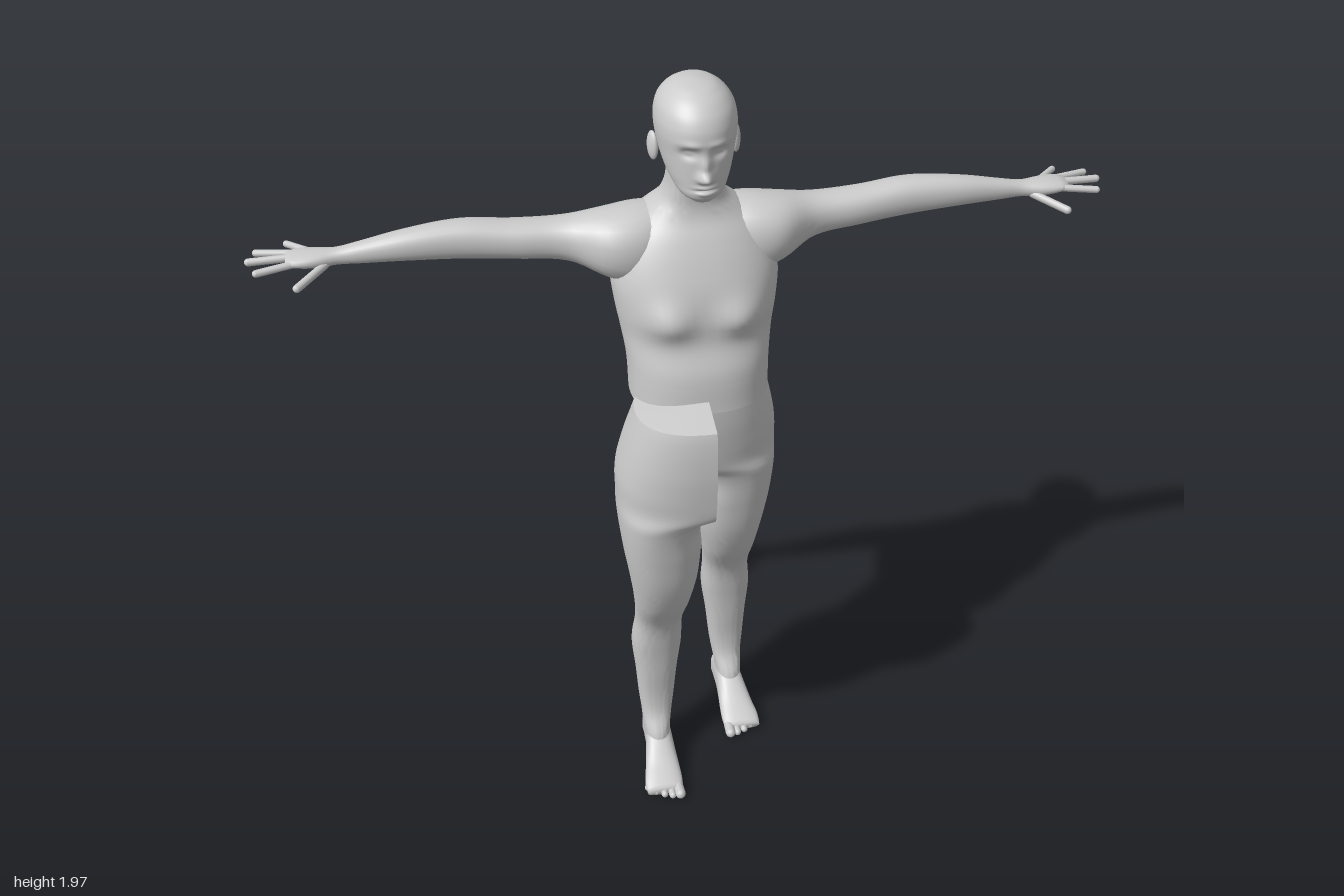
import * as THREE from 'three';
import { toCreasedNormals } from 'three/addons/utils/BufferGeometryUtils.js';

const material = new THREE.MeshStandardMaterial({ color: 0xcccccc, side: THREE.DoubleSide });

function addMesh(parent, name, geometry) {
  const mesh = new THREE.Mesh(geometry, material);
  mesh.name = name;
  parent.add(mesh);
  return mesh;
}

// Skins smoothed oval sections. Each row is [t, a0, a1, b0, b1]: the place along
// the axis and the extents in the next two axes (x: y,z  y: z,x  z: x,y).
function loft(axis, rows, { n = 32, m = 48, power = 0.9, sculpt, lift = 0, crease } = {}) {
  const times = rows.map((r) => r[0]);
  const spline = new THREE.CubicInterpolant(times, rows.flatMap((r) => r.slice(1)), 4, new Float32Array(4));
  const k = 'xyz'.indexOf(axis);
  const positions = [], index = [];
  const push = (t, a, b) => {
    const p = new THREE.Vector3();
    p.setComponent(k, t).setComponent((k + 1) % 3, a).setComponent((k + 2) % 3, b);
    if (sculpt) sculpt(p);
    positions.push(p.x, p.y, p.z);
  };
  const round = (v) => Math.sign(v) * Math.abs(v) ** power;
  const t0 = times[0], t1 = times[times.length - 1];
  for (let i = 0; i <= m; i++) {
    const t = t0 + ((t1 - t0) * i) / m;
    const [a0, a1, b0, b1] = spline.evaluate(t);
    for (let j = 0; j < n; j++) {
      const q = (j / n) * Math.PI * 2;
      push(t, (a0 + a1) / 2 + ((a1 - a0) / 2) * round(Math.cos(q)), (b0 + b1) / 2 + ((b1 - b0) / 2) * round(Math.sin(q)));
      if (i < m) {
        const p = i * n + j, r = i * n + ((j + 1) % n);
        index.push(p, r, p + n, r, r + n, p + n);
      }
    }
  }
  // end caps
  const c = (m + 1) * n;
  for (const [row, t] of [[rows[0], t0], [rows[rows.length - 1], t1 + lift]]) {
    push(t, (row[1] + row[2]) / 2, (row[3] + row[4]) / 2);
  }
  for (let j = 0; j < n; j++) {
    const r = (j + 1) % n;
    index.push(c, r, j, c + 1, m * n + j, m * n + r);
  }
  const geometry = new THREE.BufferGeometry();
  geometry.setAttribute('position', new THREE.Float32BufferAttribute(positions, 3));
  geometry.setIndex(index);
  geometry.computeVertexNormals();
  return crease ? toCreasedNormals(geometry, crease) : geometry;
}

// Soft bump centred on (x, y), mirrored across the body
const bump = (p, x, y, rx, ry) => Math.exp(-(((Math.abs(p.x) - x) / rx) ** 2) - ((p.y - y) / ry) ** 2);

// Rounded rod between two points, for fingers and toes
function rod(parent, name, from, to, radius) {
  const a = new THREE.Vector3(...from), b = new THREE.Vector3(...to);
  const d = b.clone().sub(a);
  const mesh = addMesh(parent, name, new THREE.CapsuleGeometry(radius, d.length(), 5, 10));
  mesh.position.copy(a).add(b).multiplyScalar(0.5);
  mesh.quaternion.setFromUnitVectors(new THREE.Vector3(0, 1, 0), d.normalize());
}

function makeArm(side) {
  const arm = new THREE.Group();
  arm.name = side + 'Arm';
  addMesh(arm, 'armAndPalm', loft('x', [
    [0.06, 1.5, 1.655, -0.13, 0.02], [0.13, 1.475, 1.66, -0.135, 0.045], [0.2, 1.497, 1.652, -0.125, 0.04],
    [0.28, 1.53, 1.635, -0.118, -0.01], [0.4, 1.545, 1.635, -0.118, -0.025], [0.52, 1.555, 1.645, -0.12, -0.035],
    [0.65, 1.565, 1.635, -0.107, -0.04], [0.75, 1.567, 1.615, -0.1, -0.052], [0.8, 1.568, 1.605, -0.1, -0.057],
    [0.84, 1.567, 1.605, -0.11, -0.048], [0.88, 1.572, 1.603, -0.118, -0.045], [0.91, 1.578, 1.598, -0.112, -0.05],
  ], { n: 24 }));
  const fingers = [
    ['littleFinger', [0.86, 1.588, -0.11], [0.908, 1.584, -0.157], 0.008],
    ['ringFinger', [0.88, 1.59, -0.1], [0.975, 1.585, -0.127], 0.0085],
    ['middleFinger', [0.89, 1.59, -0.083], [0.991, 1.587, -0.086], 0.009],
    ['indexFinger', [0.88, 1.588, -0.06], [0.975, 1.583, -0.04], 0.0085],
    ['thumb', [0.825, 1.577, -0.06], [0.89, 1.56, 0.002], 0.0095],
  ];
  for (const f of fingers) rod(arm, ...f);
  return arm;
}

// Leg with its half of the hips, cut flat on the body's centre plane
function makeLeg(side) {
  const leg = new THREE.Group();
  leg.name = side + 'Leg';
  addMesh(leg, 'hipAndLeg', loft('y', [
    [0.05, -0.205, -0.08, 0.085, 0.15], [0.1, -0.205, -0.09, 0.085, 0.155], [0.15, -0.2, -0.117, 0.077, 0.158],
    [0.2, -0.2, -0.125, 0.07, 0.163], [0.3, -0.21, -0.12, 0.06, 0.17], [0.4, -0.22, -0.11, 0.048, 0.178],
    [0.5, -0.2, -0.09, 0.048, 0.17], [0.6, -0.18, -0.037, 0.035, 0.177], [0.7, -0.18, 0, 0.02, 0.19],
    [0.8, -0.19, 0.02, 0.012, 0.205], [0.9, -0.22, 0.036, 0.004, 0.215], [0.93, -0.236, 0.044, -0.03, 0.216],
    [0.96, -0.249, 0.055, -0.19, 0.216], [1.02, -0.26, 0.063, -0.215, 0.215], [1.1, -0.245, 0.068, -0.2, 0.2],
    [1.2, -0.207, 0.062, -0.174, 0.174], [1.215, -0.2, 0.058, -0.17, 0.17],
  ], { n: 48, m: 96, power: 0.85, lift: 0.03, crease: 0.7, sculpt: (p) => { p.x = Math.max(p.x, 0); } }));
  addMesh(leg, 'foot', loft('z', [
    [-0.22, 0.1, 0.135, 0.015, 0.05], [-0.21, 0.088, 0.147, 0.004, 0.085], [-0.17, 0.083, 0.152, 0, 0.11],
    [-0.12, 0.082, 0.155, 0.003, 0.11], [-0.08, 0.08, 0.162, 0.004, 0.085], [-0.04, 0.077, 0.17, 0.003, 0.058],
    [0, 0.076, 0.178, 0, 0.04], [0.03, 0.08, 0.176, 0.003, 0.026],
  ], { n: 24, m: 28, power: 0.8 }));
  for (let i = 0; i < 5; i++) {
    const r = i ? 0.0105 - i * 0.0005 : 0.014;
    rod(leg, 'toe', [0.092 + i * 0.019, 0.015, 0], [0.09 + i * 0.0205, r, 0.046 - i * i * 0.0026], r);
  }
  return leg;
}

function makeHead() {
  const head = new THREE.Group();
  head.name = 'head';
  addMesh(head, 'skullAndFace', loft('y', [
    [1.726, 0.035, 0.092, -0.025, 0.025], [1.74, 0, 0.105, -0.046, 0.046], [1.77, -0.055, 0.106, -0.066, 0.066],
    [1.8, -0.092, 0.106, -0.077, 0.077], [1.83, -0.115, 0.106, -0.084, 0.084], [1.87, -0.13, 0.11, -0.09, 0.09],
    [1.9, -0.129, 0.105, -0.089, 0.089], [1.93, -0.114, 0.087, -0.079, 0.079], [1.955, -0.083, 0.055, -0.055, 0.055],
    [1.966, -0.055, 0.025, -0.033, 0.033], [1.97, -0.025, -0.005, -0.012, 0.012],
  ], { n: 96, m: 80, power: 0.95, sculpt: (p) => {
    if (p.z < 0.02) return;
    p.z += 0.024 * bump(p, 0, 1.793, 0.014, 0.012) + 0.012 * bump(p, 0, 1.82, 0.011, 0.022); // nose
    p.z += 0.005 * bump(p, 0.012, 1.787, 0.008, 0.007); // nostrils
    p.z -= 0.014 * bump(p, 0.034, 1.846, 0.017, 0.012); // eye sockets
    p.z += 0.006 * bump(p, 0.034, 1.846, 0.009, 0.006); // eyes
    p.z += 0.004 * bump(p, 0.03, 1.868, 0.022, 0.008); // brows
    p.z += 0.006 * (bump(p, 0, 1.767, 0.02, 0.005) + bump(p, 0, 1.754, 0.018, 0.005)); // lips
    p.z -= 0.005 * bump(p, 0, 1.7605, 0.024, 0.003); // mouth line
  } }));
  for (const s of [-1, 1]) {
    const ear = addMesh(head, 'ear', new THREE.SphereGeometry(1, 16, 12));
    ear.scale.set(0.01, 0.033, 0.019);
    ear.position.set(s * 0.093, 1.818, -0.018);
    ear.rotation.set(-0.15, s * -0.35, 0);
  }
  return head;
}

export function createModel() {
  const model = new THREE.Group();
  model.name = 'figure';

  addMesh(model, 'torsoAndNeck', loft('y', [
    [1.205, -0.112, 0.157, 0.165], [1.3, -0.12, 0.146, 0.168], [1.37, -0.135, 0.122, 0.178],
    [1.43, -0.148, 0.116, 0.188], [1.5, -0.16, 0.106, 0.194], [1.56, -0.163, 0.083, 0.184],
    [1.61, -0.157, 0.058, 0.158], [1.65, -0.133, 0.035, 0.115], [1.68, -0.112, 0.028, 0.08],
    [1.71, -0.1, 0.03, 0.066], [1.75, -0.092, 0.035, 0.06], [1.8, -0.085, 0.04, 0.058],
  ].map(([y, z0, z1, w]) => [y, z0, z1, -w, w]), { n: 64, m: 64, power: 0.85, crease: 0.8, sculpt: (p) => {
    if (p.z > 0) p.z += 0.026 * bump(p, 0.085, 1.435, 0.055, 0.045); // chest
    else p.z += 0.016 * bump(p, 0, 1.42, 0.025, 0.17); // spine groove
  } }));
  model.add(makeHead());

  // Limbs are mirrored; the right leg stands a step ahead of the left
  for (const [side, s] of [['left', 1], ['right', -1]]) {
    const arm = makeArm(side), leg = makeLeg(side);
    arm.scale.x = leg.scale.x = s;
    if (s < 0) leg.position.z = 0.192;
    model.add(arm, leg);
  }
  return model;
}
